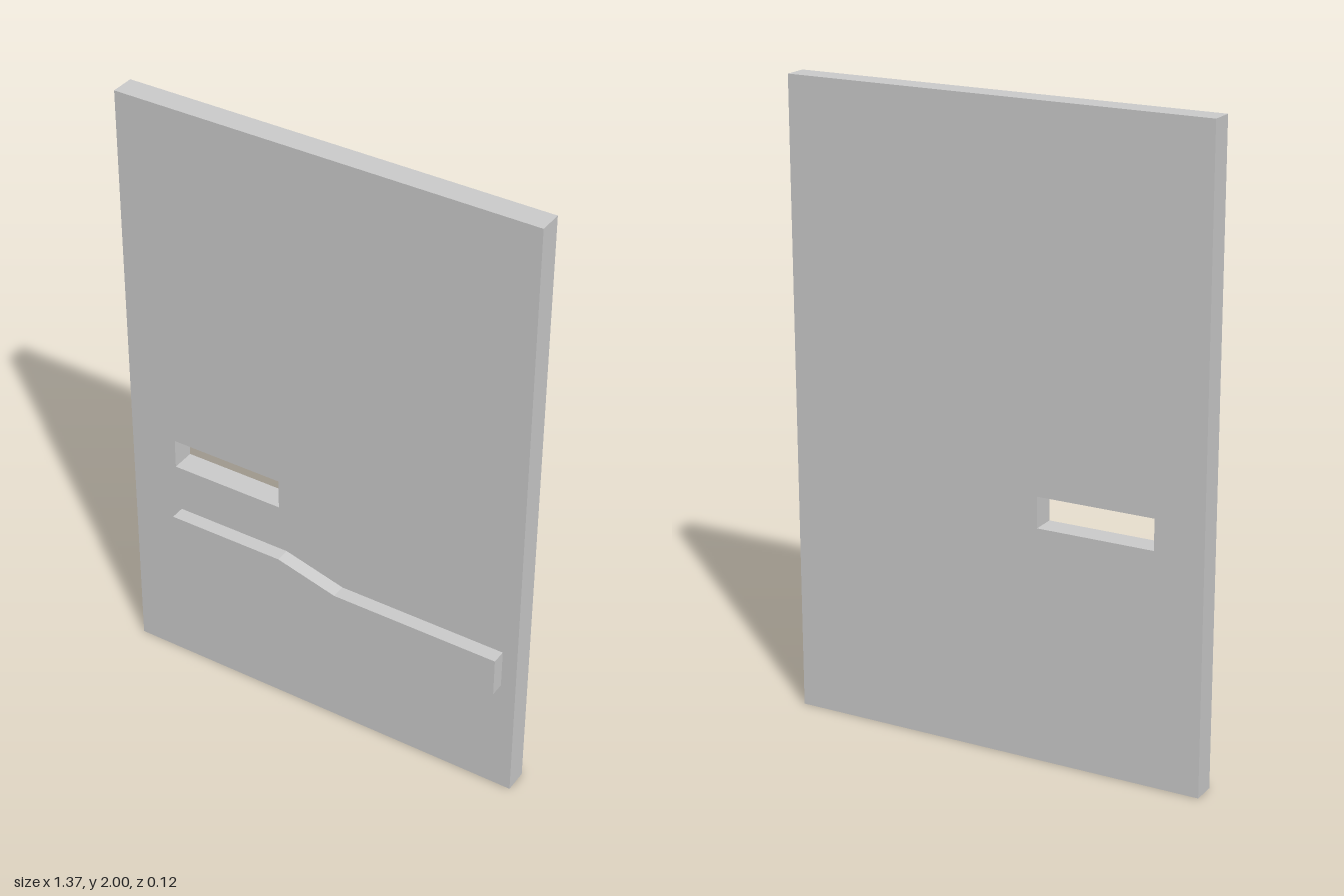
import * as THREE from 'three';

const BACK = -0.062, FACE = 0.015, FRONT = 0.062;

// Extrudes a flat outline from z0 to z1
function slab(name, shape, z0, z1, material) {
  const geometry = new THREE.ExtrudeGeometry(shape, { depth: z1 - z0, bevelEnabled: false });
  geometry.translate(0, 0, z0);
  const mesh = new THREE.Mesh(geometry, material);
  mesh.name = name;
  return mesh;
}

const outline = (points) => points.map(([x, y]) => new THREE.Vector2(x, y));
const rectangle = (x0, y0, x1, y1) => outline([[x0, y0], [x1, y0], [x1, y1], [x0, y1]]);

export function createModel() {
  const group = new THREE.Group();
  group.name = 'doorPanel';
  const material = new THREE.MeshStandardMaterial({ color: 0xcccccc });

  // Upright panel with a rectangular handle opening
  const panel = new THREE.Shape(rectangle(-0.683, 0, 0.683, 2));
  panel.holes.push(new THREE.Path(rectangle(-0.525, 0.74, -0.147, 0.838).reverse()));
  group.add(slab('panel', panel, BACK, FACE, material));

  // Armrest that steps down towards the model's left
  const armrest = new THREE.Shape(outline([
    [-0.509, 0.4], [0.634, 0.4], [0.634, 0.528],
    [0.08, 0.528], [-0.12, 0.582], [-0.509, 0.582],
  ]));
  group.add(slab('armrest', armrest, FACE, FRONT, material));

  return group;
}
